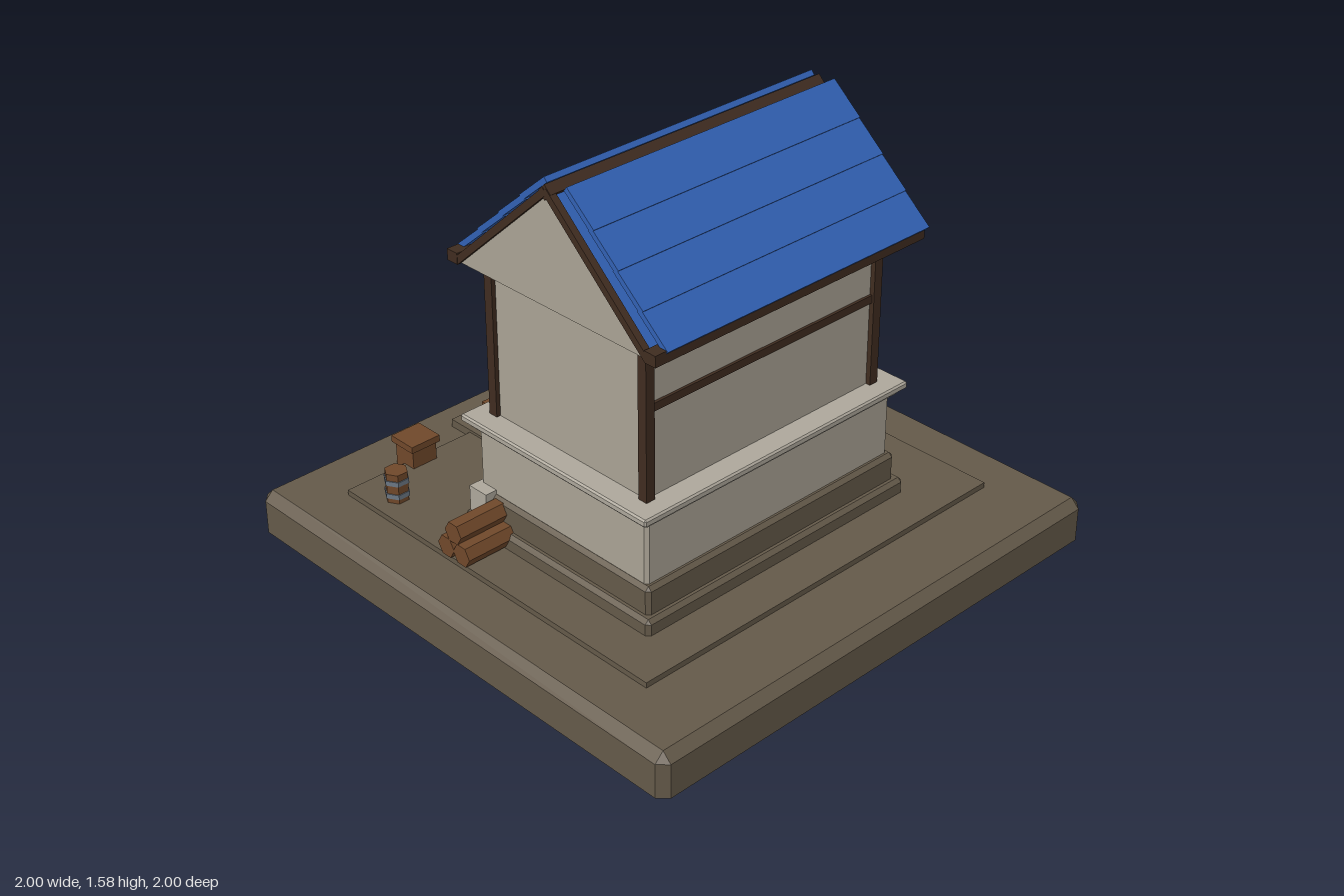
import * as THREE from 'three';
import { ConvexGeometry } from 'three/addons/geometries/ConvexGeometry.js';

const mat = (name, color) => {
  const m = new THREE.MeshStandardMaterial({ color, flatShading: true });
  m.name = name;
  return m;
};

export function createModel() {
  const earth = mat('earth', 0x645949), plaster = mat('plaster', 0xa9a294), stone = mat('paleStone', 0xada79b);
  const dark = mat('darkTimber', 0x3f2c20), wood = mat('wood', 0x70482a);
  const blue = mat('blueRoof', 0x3160b2), metal = mat('metal', 0x6c7784);
  const model = new THREE.Group();
  model.name = 'sawmill';

  const add = (name, geo, material, x = 0, y = 0, z = 0, parent = model) => {
    const m = new THREE.Mesh(geo, material);
    m.name = name;
    m.position.set(x, y, z);
    parent.add(m);
    return m;
  };
  // Box given by its extents on each axis
  const box = (name, material, x0, x1, y0, y1, z0, z1, parent) =>
    add(name, new THREE.BoxGeometry(x1 - x0, y1 - y0, z1 - z0), material,
      (x0 + x1) / 2, (y0 + y1) / 2, (z0 + z1) / 2, parent);
  // Slab with chamfered upright and top edges
  const slab = (name, material, x0, x1, y0, y1, z0, z1, c) => {
    const pts = [], hx = (x1 - x0) / 2, hz = (z1 - z0) / 2, h = y1 - y0;
    for (const sx of [-1, 1]) for (const sz of [-1, 1]) {
      for (const y of [0, h - c]) {
        pts.push(new THREE.Vector3(sx * hx, y, sz * (hz - c)), new THREE.Vector3(sx * (hx - c), y, sz * hz));
      }
      pts.push(new THREE.Vector3(sx * (hx - c), h, sz * (hz - c)));
    }
    return add(name, new ConvexGeometry(pts), material, (x0 + x1) / 2, y0, (z0 + z1) / 2);
  };
  // Timber between two points on the back wall
  const brace = (name, xa, ya, xb, yb) => {
    const len = Math.hypot(xb - xa, yb - ya);
    const m = add(name, new THREE.BoxGeometry(len, 0.025, 0.025), dark, (xa + xb) / 2, (ya + yb) / 2, -0.245);
    m.rotation.z = Math.atan2(yb - ya, xb - xa);
  };

  // Ground
  slab('base', earth, -1, 1, 0, 0.16, -1, 1, 0.033);
  box('yard', earth, -0.8, 0.8, 0.15, 0.18, -0.76, 0.72);
  box('plankPad', earth, -0.26, 0.26, 0.15, 0.19, -0.86, -0.665);
  box('rampPad', earth, 0.37, 0.825, 0.15, 0.2, -0.79, -0.49);

  // Foundation, centred on x = -0.04, z = 0.115
  const tier = (name, material, hx, hz, y0, y1, c) =>
    slab(name, material, -0.04 - hx, -0.04 + hx, y0, y1, 0.115 - hz, 0.115 + hz, c);
  tier('footing', earth, 0.6, 0.445, 0.17, 0.235, 0.014);
  tier('plinth', earth, 0.575, 0.42, 0.235, 0.335, 0.014);
  tier('foundationWall', plaster, 0.56, 0.398, 0.3, 0.57, 0.012);
  tier('lowerCornice', stone, 0.58, 0.415, 0.565, 0.592, 0.006);
  tier('upperCornice', stone, 0.602, 0.437, 0.588, 0.61, 0.006);
  for (const s of [-1, 1]) {
    const x = -0.04 + s * 0.57;
    box('cornerStone', stone, x - 0.035, x + 0.035, 0.24, 0.35, -0.288, -0.205);
  }

  // Upper walls and corner posts
  box('walls', plaster, -0.555, 0.472, 0.6, 1.17, -0.238, 0.465);
  for (const x of [-0.553, 0.468]) for (const z of [-0.24, 0.465])
    box('cornerPost', dark, x - 0.018, x + 0.018, 0.61, 1.16, z - 0.018, z + 0.018);
  box('frontBeam', dark, -0.54, 0.455, 0.918, 0.947, 0.45, 0.475);
  box('window', dark, 0.465, 0.482, 0.785, 0.895, 0.015, 0.108);

  // Back wall framing
  for (const s of [-1, 1]) {
    const inner = -0.01 + s * 0.19, outer = -0.04 + s * 0.5;
    box('innerPost', dark, inner - 0.015, inner + 0.015, 0.61, 1.16, -0.262, -0.235);
    brace('backBeam', inner, 0.95, outer, 0.95);
    brace('backBrace', inner, 0.93, outer, 0.63);
  }
  brace('crossBrace', -0.2, 0.66, -0.4, 0.94);

  // Saw blade on its board
  box('bladeBoard', wood, -0.185, 0.165, 0.72, 1.14, -0.298, -0.235);
  for (const y of [0.74, 1.125]) box('bladeBracket', dark, -0.065, 0.045, y - 0.025, y + 0.025, -0.315, -0.24);
  const teeth = new THREE.Shape(), n = 16;
  for (let i = 0; i < n; i++) {
    for (const [r, o] of [[0.143, 0], [0.167, 0.3], [0.163, 0.7]]) {
      const a = (i + o) / n * Math.PI * 2;
      teeth[i || o ? 'lineTo' : 'moveTo'](r * Math.cos(a), r * Math.sin(a));
    }
  }
  teeth.closePath();
  add('sawBlade', new THREE.ExtrudeGeometry(teeth, { depth: 0.018, bevelEnabled: false }), metal, -0.01, 0.922, -0.325);
  const hub = add('bladeHub', new THREE.CylinderGeometry(0.045, 0.045, 0.05, 8), wood, -0.01, 0.922, -0.312);
  hub.rotation.x = Math.PI / 2;

  // Hanging pennant
  const flag = new THREE.Shape([[-0.045, 0.14], [-0.045, 0.03], [0, 0], [0.045, 0.03], [0.045, 0.14]]
    .map(p => new THREE.Vector2(...p)));
  add('pennant', new THREE.ExtrudeGeometry(flag, { depth: 0.012, bevelEnabled: false }), blue, 0.33, 1.01, -0.268);

  // Roof core: plaster gables, blue slopes and soffit
  const zc = 0.112;
  const tri = new THREE.Shape([[-0.437, 0], [0.437, 0], [0, 0.395]].map(p => new THREE.Vector2(...p)));
  const core = new THREE.ExtrudeGeometry(tri, { depth: 1.15, bevelEnabled: false });
  core.rotateY(Math.PI / 2);
  add('gableRoof', core, [plaster, blue], -0.615, 1.157, zc);

  // Roof boards, gable rafters and eave beams, mirrored about the ridge
  const pitch = 0.738;
  for (const s of [-1, 1]) {
    for (let i = 0; i < 4; i++) {
      const t = (i + 0.5) / 4;
      const b = add('roofBoard', new THREE.BoxGeometry(1.163, 0.02, 0.153), blue,
        -0.003, 1.565 - t * 0.378, zc + s * (0.05 + t * 0.417));
      b.rotation.x = s * (pitch - 0.03);
    }
    for (const x of [-0.616, 0.538]) {
      const r = add('gableRafter', new THREE.BoxGeometry(0.025, 0.025, 0.59), dark, x, 1.362, zc + s * 0.217);
      r.rotation.x = s * pitch;
    }
    box('eaveBeam', dark, -0.63, 0.562, 1.155, 1.195, zc + s * 0.45 - 0.024, zc + s * 0.45 + 0.024);
  }
  const ridge = add('ridgeBeam', new THREE.BoxGeometry(1.187, 0.038, 0.038), dark, -0.034, 1.555, zc);
  ridge.rotation.x = Math.PI / 4;

  // Log ramp
  const ramp = new THREE.Group();
  ramp.name = 'logRamp';
  ramp.position.set(0.595, 0.455, -0.45);
  ramp.rotation.x = -0.76;
  model.add(ramp);
  for (const x of [-0.06, 0.06]) box('rampPlank', wood, x - 0.058, x + 0.058, -0.035, -0.012, -0.275, 0.275, ramp);
  for (const x of [-0.122, 0.118]) box('rampRail', dark, x - 0.012, x + 0.012, -0.04, 0.025, -0.28, 0.28, ramp);
  const log = (name, len, r, x, y, z, parent) =>
    add(name, new THREE.CylinderGeometry(r, r, len, 6), wood, x, y, z, parent);
  log('rampLog', 0.6, 0.04, -0.005, 0.022, 0, ramp).rotation.x = Math.PI / 2;

  // Timber stacked at the foot of the ramp
  box('lowerTimber', wood, 0.45, 0.83, 0.195, 0.222, -0.74, -0.6);
  box('upperTimber', wood, 0.43, 0.85, 0.215, 0.265, -0.72, -0.612);

  // Log pile beside the foundation
  for (const [y, z] of [[0.221, -0.217], [0.221, -0.14], [0.29, -0.178]])
    log('pileLog', 0.25, 0.041, -0.685, y, z).rotation.z = Math.PI / 2;

  // Loose plank, crate and barrel
  box('loosePlank', wood, -0.135, 0.23, 0.185, 0.22, -0.84, -0.74);
  box('crate', wood, -0.555, -0.453, 0.155, 0.255, -0.802, -0.708);
  box('crateLid', wood, -0.565, -0.443, 0.25, 0.275, -0.812, -0.698);
  add('barrel', new THREE.CylinderGeometry(0.042, 0.042, 0.115, 6), wood, -0.707, 0.235, -0.605).rotation.y = Math.PI / 6;
  for (const y of [0.207, 0.258])
    add('barrelHoop', new THREE.CylinderGeometry(0.046, 0.046, 0.018, 6), metal, -0.707, y, -0.605).rotation.y = Math.PI / 6;
  return model;
}
